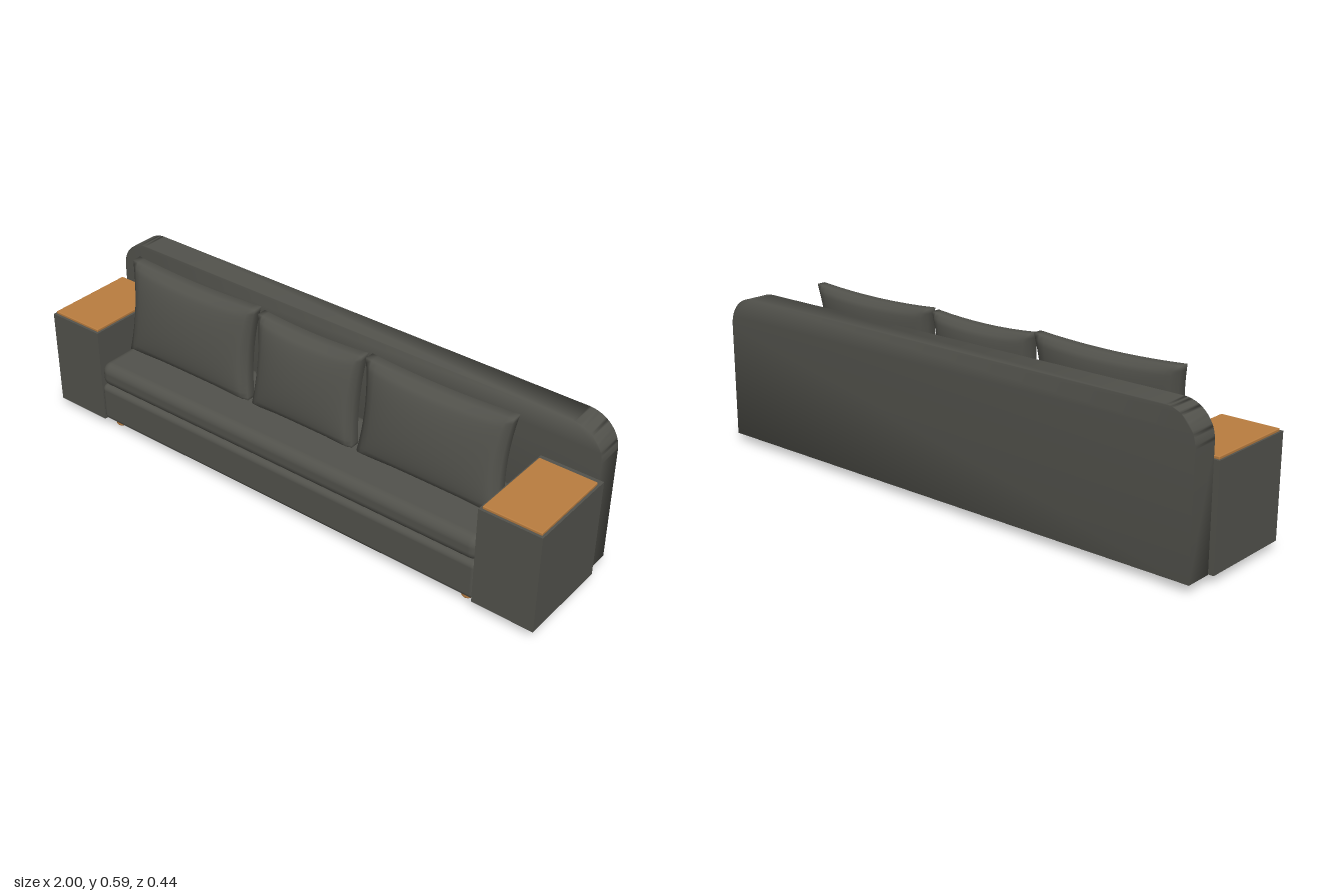
import * as THREE from 'three';
import { mergeVertices } from 'three/addons/utils/BufferGeometryUtils.js';
import { RoundedBoxGeometry } from 'three/addons/geometries/RoundedBoxGeometry.js';

const fabric = new THREE.MeshStandardMaterial({ name: 'charcoal fabric', color: 0x52524c });
const wood = new THREE.MeshStandardMaterial({ name: 'warm wood', color: 0xb97d40 });

// Share vertices so that shading runs softly over the edges
function soften(geometry) {
  geometry.deleteAttribute('uv');
  geometry.deleteAttribute('normal');
  const merged = mergeVertices(geometry, 1e-4);
  merged.computeVertexNormals();
  return merged;
}

// Box given by its limits, optionally with rounded edges
function block(name, material, [x0, x1], [y0, y1], [z0, z1], radius = 0) {
  const size = [x1 - x0, y1 - y0, z1 - z0];
  const geometry = radius ? new RoundedBoxGeometry(...size, 4, radius) : new THREE.BoxGeometry(...size);
  const mesh = new THREE.Mesh(geometry, material);
  mesh.name = name;
  mesh.position.set((x0 + x1) / 2, (y0 + y1) / 2, (z0 + z1) / 2);
  return mesh;
}

// Stuffed pillow: pinched outline, thick middle, thin rim, leaning back
function pillow(name, x0, x1, top) {
  const bottom = 0.248, hw = (x1 - x0) / 2, hh = (top - bottom) / 2;
  const geometry = new THREE.BoxGeometry(2, 2, 2, 24, 20, 1);
  const p = geometry.attributes.position;
  for (let i = 0; i < p.count; i++) {
    const u = p.getX(i), v = p.getY(i), side = p.getZ(i);
    const bulge = Math.pow(Math.max(0, (1 - u * u) * (1 - v * v)), 0.4);
    const half = 0.017 + 0.043 * bulge;
    p.setXYZ(i,
      u * hw * (1 - 0.06 * (1 - v * v)),
      v * hh * (1 - 0.07 * (1 - u * u)),
      side * half - 0.022 * v);
  }
  const mesh = new THREE.Mesh(soften(geometry), fabric);
  mesh.name = name;
  mesh.position.set((x0 + x1) / 2, (top + bottom) / 2, 0.034);
  return mesh;
}

// Upright back panel with rounded upper corners
function backrest() {
  const w = 0.983, y0 = 0.028, y1 = 0.546, r = 0.11;
  const shape = new THREE.Shape();
  shape.moveTo(-w, y0);
  shape.lineTo(w, y0);
  shape.lineTo(w, y1 - r);
  shape.absarc(w - r, y1 - r, r, 0, Math.PI / 2, false);
  shape.lineTo(-w + r, y1);
  shape.absarc(-w + r, y1 - r, r, Math.PI / 2, Math.PI, false);
  shape.closePath();
  const geometry = new THREE.ExtrudeGeometry(shape, { depth: 0.097, bevelEnabled: false, curveSegments: 10 });
  const mesh = new THREE.Mesh(soften(geometry), fabric);
  mesh.name = 'backrest';
  mesh.position.z = -0.22;
  return mesh;
}

// Short round foot with a softened lower rim
function foot(x, z) {
  const profile = [[0, 0], [0.014, 0], [0.018, 0.002], [0.02, 0.006], [0.02, 0.03]];
  const geometry = new THREE.LatheGeometry(profile.map(([r, y]) => new THREE.Vector2(r, y)), 20);
  const mesh = new THREE.Mesh(geometry, wood);
  mesh.name = 'foot';
  mesh.position.set(x, 0, z);
  return mesh;
}

export function createModel() {
  const sofa = new THREE.Group();
  sofa.name = 'sofa';
  sofa.add(backrest());

  // Seat
  sofa.add(block('seatBase', fabric, [-0.79, 0.79], [0.028, 0.17], [-0.121, 0.22], 0.02));
  sofa.add(block('seatCushion', fabric, [-0.79, 0.79], [0.168, 0.257], [-0.105, 0.22], 0.035));

  // Armrests with wooden tops
  sofa.add(block('rightArm', fabric, [-1, -0.782], [0.028, 0.38], [-0.12, 0.222]));
  sofa.add(block('leftArm', fabric, [0.782, 1], [0.028, 0.38], [-0.12, 0.222]));
  sofa.add(block('rightArmTop', wood, [-0.994, -0.79], [0.378, 0.389], [-0.112, 0.213], 0.003));
  sofa.add(block('leftArmTop', wood, [0.79, 0.992], [0.378, 0.389], [-0.097, 0.213], 0.003));

  // Pillows
  sofa.add(pillow('rightPillow', -0.782, -0.23, 0.586));
  sofa.add(pillow('middlePillow', -0.215, 0.208, 0.578));
  sofa.add(pillow('leftPillow', 0.224, 0.764, 0.582));

  // Feet
  for (const x of [-0.89, -0.745, 0.74, 0.886]) {
    for (const z of [0.175, -0.054]) sofa.add(foot(x, z));
  }
  return sofa;
}
